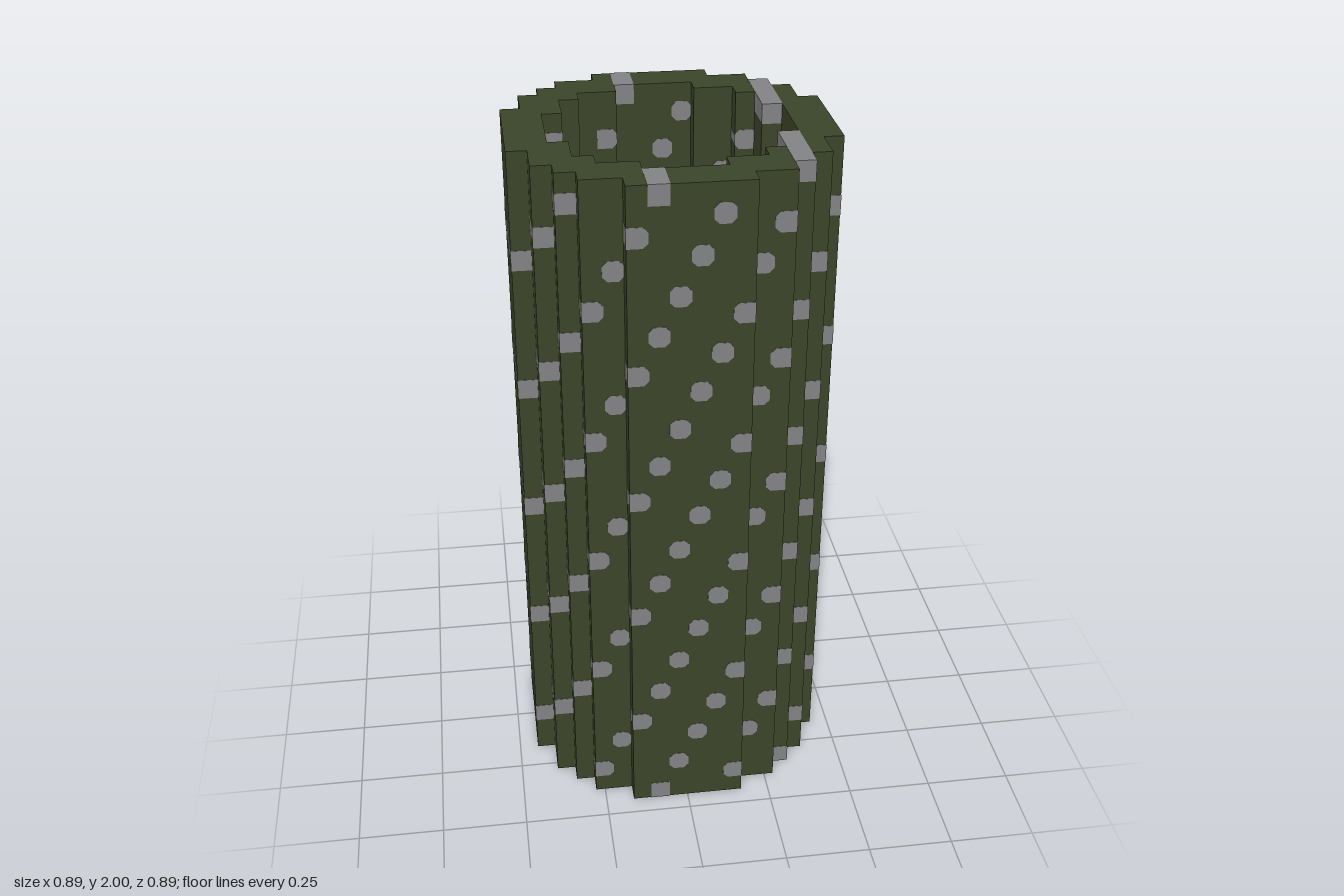
import * as THREE from 'three';
import { mergeGeometries } from 'three/addons/utils/BufferGeometryUtils.js';

const U = 1 / 18;     // block size
const ROWS = 36;      // height in blocks
const PROUD = 0.001;  // how far the speckles stand out of the wall
const CUT = 0.014;    // corner cut of the rounded speckles

// Outer and inner z reach, in blocks, for each column counted from the centre
const OUTER = [8, 8, 8, 7, 7, 6, 5, 3];
const INNER = [6, 6, 5, 5, 4, 2, 0, 0];

const fromCentre = (column) => (column >= 8 ? column - 8 : 7 - column);

// Remove points that repeat the one before
const withoutRepeats = (points) => points.filter(
  (p, i) => p.distanceTo(points[(i + points.length - 1) % points.length]) > 1e-6);

// Closed stepped outline, counter-clockwise, from the reach of each column
function steppedOutline(reach, PathType) {
  const quarter = [];
  reach.forEach((z, d) => {
    if (z > 0) quarter.push([d, z], [d + 1, z]);
  });
  const half = [...quarter.map(([x, z]) => [-x, z]).reverse(), ...quarter];
  const all = [...half, ...half.map(([x, z]) => [-x, -z])].reverse();
  return new PathType(withoutRepeats(all.map(([x, z]) => new THREE.Vector2(x * U, z * U))));
}

// Bar of one block in x and y, running along z, with optional cut corners
function speckleBar(column, row, z0, z1) {
  const d = fromCentre(column);
  const middle = row > 0 && row < ROWS - 1;
  const inCut = middle && d <= 4 ? CUT : 0;
  const outCut = middle && (d < 2 || d === 3) ? CUT : 0;
  const [left, right] = column >= 8 ? [inCut, outCut] : [outCut, inCut];
  const x0 = (column - 8) * U - PROUD, x1 = (column - 7) * U + PROUD;
  const y0 = row * U - PROUD, y1 = (row + 1) * U + PROUD;
  const corners = [
    [x0 + left, y0], [x1 - right, y0], [x1, y0 + right], [x1, y1 - right],
    [x1 - right, y1], [x0 + left, y1], [x0, y1 - left], [x0, y0 + left],
  ].map(([x, y]) => new THREE.Vector2(x, y));
  const bar = new THREE.ExtrudeGeometry(new THREE.Shape(withoutRepeats(corners)), {
    depth: (z1 - z0) * U + 2 * PROUD, bevelEnabled: false,
  });
  return bar.translate(0, 0, z0 * U - PROUD);
}

export function createModel() {
  const green = new THREE.MeshStandardMaterial({ color: 0x3b4529 });
  green.name = 'dark olive green';
  const grey = new THREE.MeshStandardMaterial({ color: 0x838284 });
  grey.name = 'speckle grey';

  const model = new THREE.Group();
  model.name = 'steppedTube';

  // Hollow wall, extruded upward
  const ring = steppedOutline(OUTER, THREE.Shape);
  ring.holes.push(steppedOutline(INNER, THREE.Path));
  const wallGeometry = new THREE.ExtrudeGeometry(ring, { depth: ROWS * U, bevelEnabled: false });
  wallGeometry.rotateX(-Math.PI / 2);
  const wall = new THREE.Mesh(wallGeometry, green);
  wall.name = 'tubeWall';
  model.add(wall);

  // Speckles: every seventh block of a row, shifted by four blocks per row
  const bars = [];
  for (let row = 0; row < ROWS; row++) {
    for (let column = (6 + 4 * row) % 7; column < 16; column += 7) {
      const d = fromCentre(column);
      const o = OUTER[d], i = INNER[d];
      if (i === 0) bars.push(speckleBar(column, row, -o, o));
      else bars.push(speckleBar(column, row, i, o), speckleBar(column, row, -o, -i));
    }
  }
  const speckles = new THREE.Mesh(mergeGeometries(bars), grey);
  speckles.name = 'speckles';
  model.add(speckles);

  return model;
}
